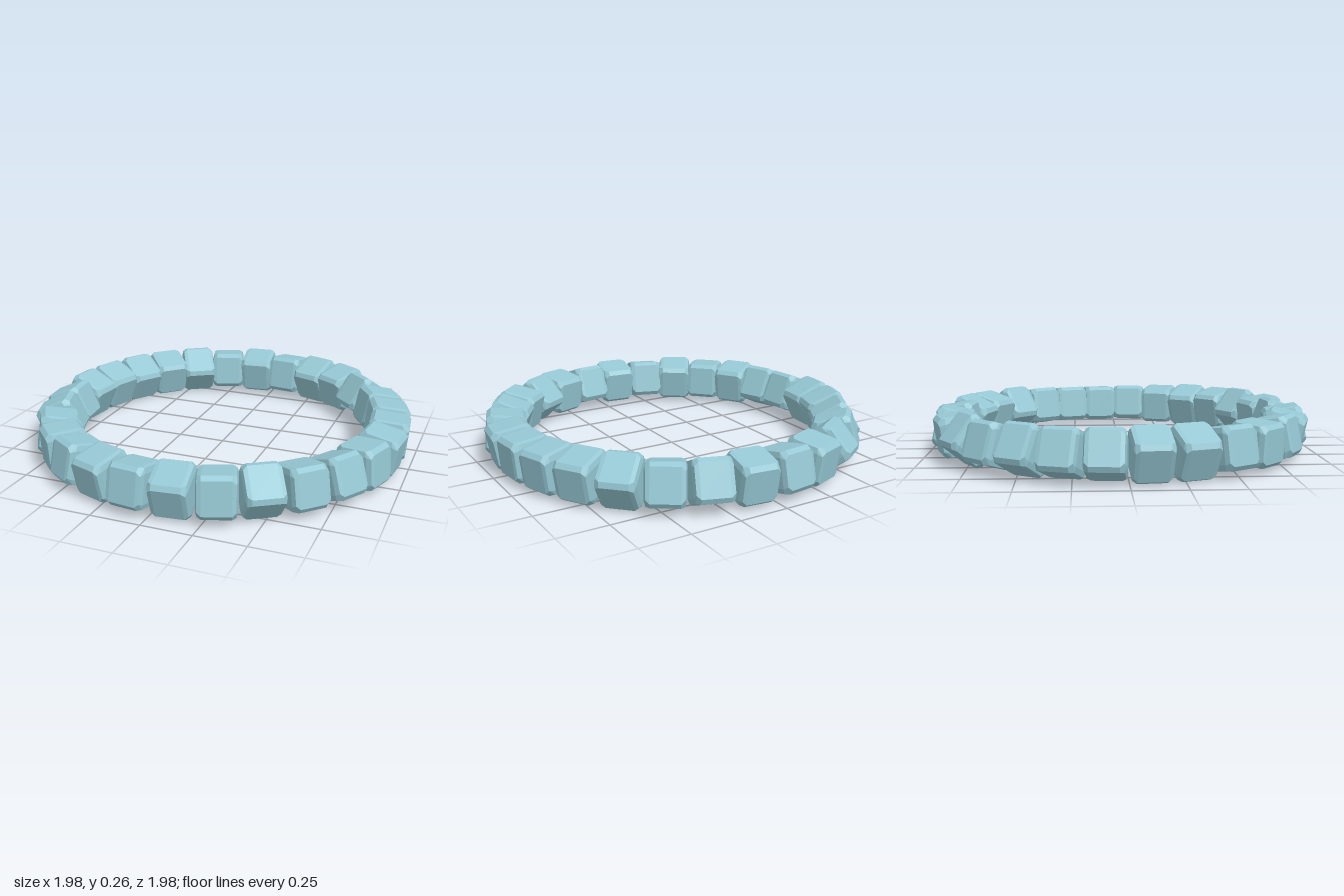
import * as THREE from 'three';
import { ConvexGeometry } from 'three/addons/geometries/ConvexGeometry.js';

// Cube with chamfered edges and corners: x runs along the string
function beadGeometry() {
  const tx = 0.094, h = 0.101, cx = 0.026, c = 0.02;
  const points = [];
  for (const sx of [-1, 1]) for (const sy of [-1, 1]) for (const sz of [-1, 1]) {
    points.push(
      new THREE.Vector3(sx * tx, sy * (h - 0.03), sz * (h - 0.03)),
      new THREE.Vector3(sx * (tx - cx), sy * h, sz * (h - c)),
      new THREE.Vector3(sx * (tx - cx), sy * (h - c), sz * h),
      new THREE.Vector3(sx * (tx - 0.007), sy * (h - 0.005), sz * (h - 0.038)),
      new THREE.Vector3(sx * (tx - 0.007), sy * (h - 0.038), sz * (h - 0.005))
    );
  }
  return new ConvexGeometry(points);
}

export function createModel() {
  const group = new THREE.Group();
  group.name = 'bracelet';
  const blue = new THREE.MeshStandardMaterial({ color: 0x96c8d4, flatShading: true });
  blue.name = 'pale blue';
  const geometry = beadGeometry();

  // Roll of each bead about the string in degrees, clockwise from the back
  const rolls = [
    -12, 10, -25, -15, 35, 12, 8, 5, 10, -5, -20, -12, -48, -8,
    20, -10, 12, -12, 3, -10, 25, 23, -25, -22, -30, -18, -40, 8,
  ];
  const radius = 0.868;
  rolls.forEach((roll, i) => {
    const a = ((i - 0.5) / rolls.length) * Math.PI * 2;
    const bead = new THREE.Mesh(geometry, blue);
    bead.name = `bead${i + 1}`;
    bead.position.set(0.006 + radius * Math.sin(a), 0.141, -0.003 - radius * Math.cos(a));
    bead.rotation.set(THREE.MathUtils.degToRad(roll), Math.PI - a, 0, 'YXZ');
    group.add(bead);
  });
  return group;
}
